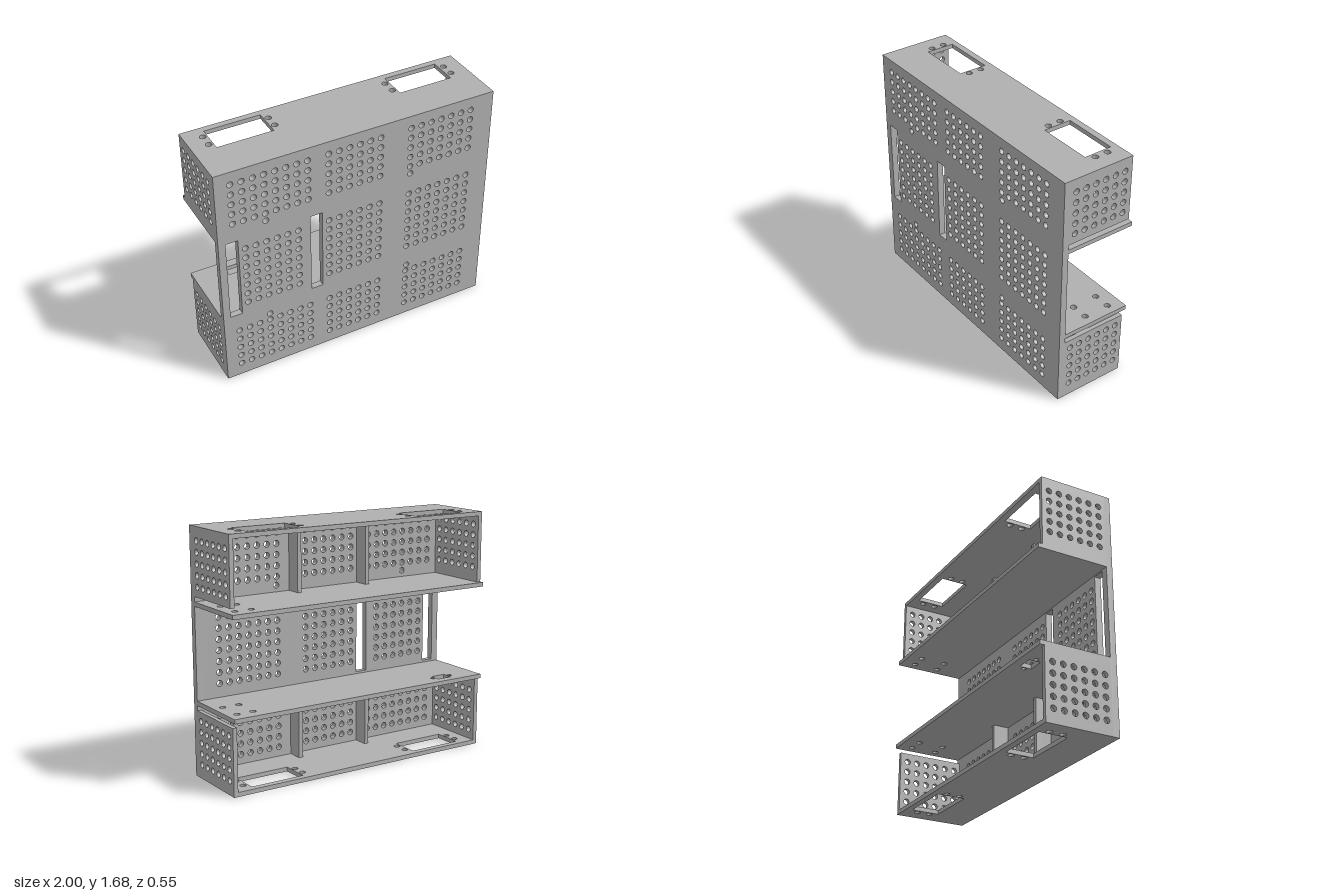
import * as THREE from 'three';

const H = 1.685, T = 0.03;          // overall height, sheet thickness
const BACK = -0.245, INNER = 0.23, FRONT = 0.275;
const HOLE = 0.021;

const series = (start, count, step = 0.075) => Array.from({ length: count }, (_, i) => start + i * step);
const holeGrid = (us, vs) => us.flatMap(u => vs.map(v => [u, v]));

// Flat sheet u0..u1 by v0..v1, with round holes [u, v, r] and rectangular windows [u0, v0, u1, v1]
function sheet(u0, v0, u1, v1, depth, holes = [], windows = []) {
  const rect = (path, a, b, c, d) => path.moveTo(a, b).lineTo(c, b).lineTo(c, d).lineTo(a, d).closePath();
  const shape = rect(new THREE.Shape(), u0, v0, u1, v1);
  for (const [u, v, r = HOLE] of holes) shape.holes.push(new THREE.Path().absarc(u, v, r, 0, Math.PI * 2, true));
  for (const w of windows) shape.holes.push(rect(new THREE.Path(), ...w));
  return new THREE.ExtrudeGeometry(shape, { depth, bevelEnabled: false, curveSegments: 16 });
}

export function createModel() {
  const group = new THREE.Group();
  group.name = 'perforatedHousing';
  const grey = new THREE.MeshStandardMaterial({ color: 0xb0b0b0 });
  grey.name = 'plain grey';
  const add = (name, geometry) => {
    const mesh = new THREE.Mesh(geometry, grey);
    mesh.name = name;
    group.add(mesh);
    return mesh;
  };
  // Horizontal sheet drawn in (x, z), hanging down from yTop
  const horizontal = (name, yTop, geo) => add(name, geo.rotateX(Math.PI / 2).translate(0, yTop, 0));
  // Upright sheet drawn in (z, y), reaching towards -x from xMax
  const upright = (name, xMax, geo) => add(name, geo.rotateY(-Math.PI / 2).translate(xMax, 0, 0));

  // Front panel with nine fields of holes, four screw holes and two slots
  const lowRows = series(0.098, 5), midRows = series(0.62, 7), highRows = series(1.293, 5);
  const leftCols = series(-0.893, 8), centreCols = series(-0.22, 6), rightCols = series(0.38, 7);
  const outerCols = [...leftCols, ...centreCols, ...rightCols];
  const middleCols = [...leftCols.slice(1, 7), ...centreCols, ...rightCols];
  const frontHoles = [
    ...holeGrid(outerCols, [...lowRows, ...highRows]),
    ...holeGrid(middleCols, midRows),
    ...holeGrid([-0.668, 0.385], [0.45, 1.235]),
  ];
  const slots = [[-0.95, 0.54, -0.865, 1.15], [-0.355, 0.54, -0.27, 1.15]];
  add('frontPanel', sheet(-1, 0, 1, H, FRONT - INNER, frontHoles, slots).translate(0, 0, INNER));

  // Top and bottom plates with socket windows and their screw holes
  const sockets = [[-0.85, -0.2, -0.46, 0], [0.455, -0.2, 0.845, 0]];
  const socketScrews = holeGrid([-0.88, -0.43, 0.425, 0.88], [-0.145, -0.052]);
  for (const [name, yTop] of [['topPlate', H], ['bottomPlate', T]])
    horizontal(name, yTop, sheet(-1, BACK, 1, INNER, T, socketScrews, sockets));

  // Shelves, reaching slightly past the back; the lower one has a small connector cutout
  const shelfHoles = holeGrid([0.813, 0.93], [-0.176, 0.01]);
  const connectorScrews = [[-0.795, -0.175, 0.016], [-0.645, -0.175, 0.016]];
  horizontal('upperShelf', 1.19, sheet(-1, -0.275, 1, INNER, T, shelfHoles));
  horizontal('lowerShelf', 0.525, sheet(-1, -0.275, 1, INNER, T,
    [...shelfHoles, ...connectorScrews], [[-0.775, -0.215, -0.665, -0.135]]));

  // Perforated side walls: a gap is left beside the shelves on the +x side only
  const depthCols = series(-0.19, 6);
  const walls = [
    ['lowerLeftWall', 1, T, 0.46, lowRows],
    ['lowerRightWall', -1 + T, T, 0.495, lowRows],
    ['upperLeftWall', 1, 1.225, H - T, highRows],
    ['upperRightWall', -1 + T, 1.19, H - T, highRows],
  ];
  for (const [name, x, y0, y1, rows] of walls)
    upright(name, x, sheet(BACK, y0, INNER, y1, T, holeGrid(depthCols, rows)));

  // Short stiffening ribs behind the front panel in both bays
  for (const x of [0.284, -0.27]) {
    upright('lowerRib', x, sheet(0.12, T, INNER, 0.495, T));
    upright('upperRib', x, sheet(0.12, 1.19, INNER, H - T, T));
  }
  return group;
}
